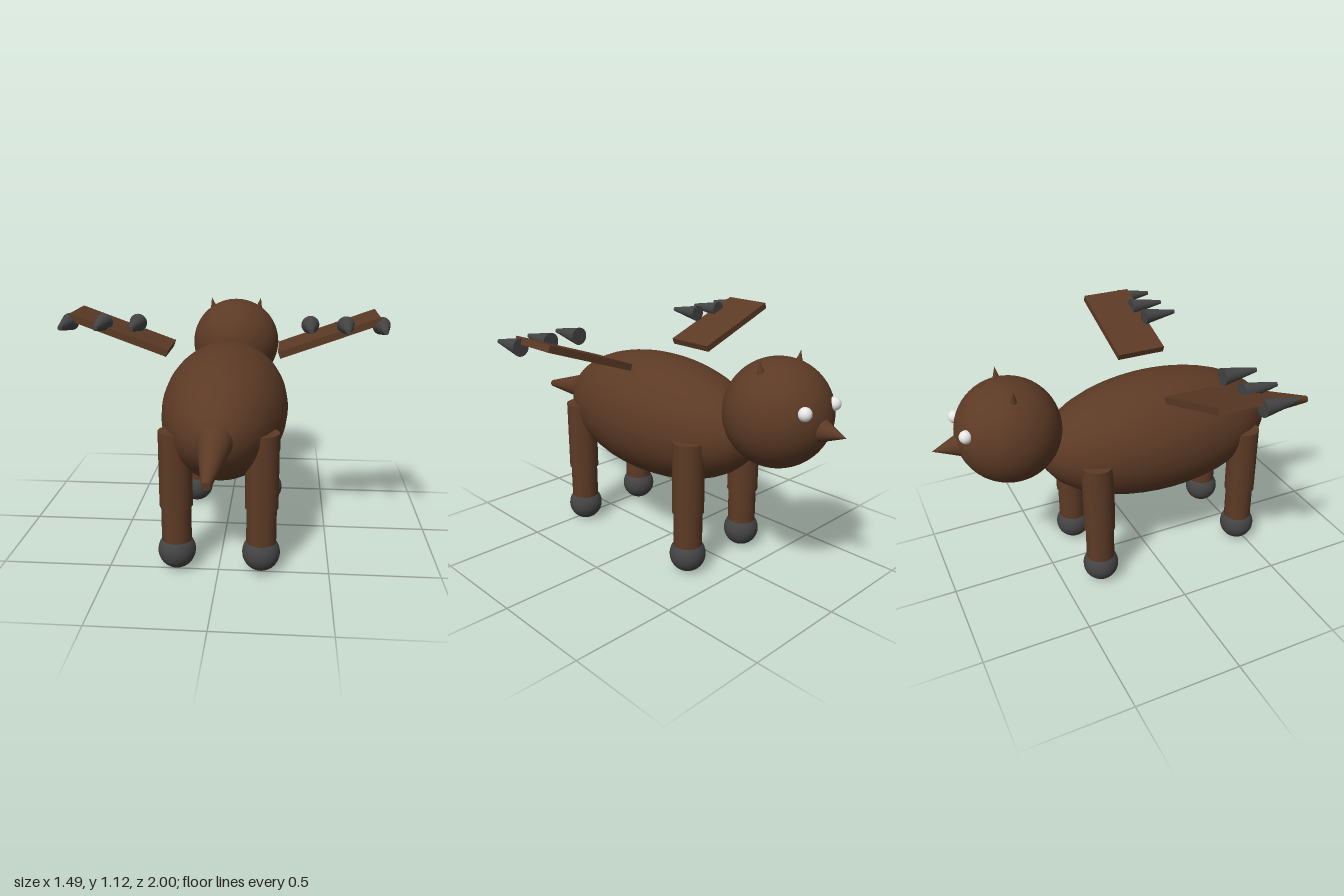
import * as THREE from 'three';

const mat = (name, color) => {
  const m = new THREE.MeshStandardMaterial({ color });
  m.name = name;
  return m;
};

export function createModel() {
  const brown = mat('brown hide', 0x5c3a25);
  const dark = mat('dark claw', 0x444444);
  const white = mat('eye white', 0xffffff);
  const model = new THREE.Group();
  model.name = 'wingedBeast';

  const add = (name, geometry, material, x, y, z) => {
    const mesh = new THREE.Mesh(geometry, material);
    mesh.name = name;
    mesh.position.set(x, y, z);
    model.add(mesh);
    return mesh;
  };
  // Tapered round piece running between two points
  const taper = (name, material, from, to, r0, r1) => {
    const a = new THREE.Vector3(...from), b = new THREE.Vector3(...to);
    const dir = b.clone().sub(a);
    const mid = a.clone().add(b).multiplyScalar(0.5);
    const mesh = add(name, new THREE.CylinderGeometry(r1, r0, dir.length(), 32), material, mid.x, mid.y, mid.z);
    mesh.quaternion.setFromUnitVectors(new THREE.Vector3(0, 1, 0), dir.normalize());
    return mesh;
  };

  // Body, head, beak and tail
  add('body', new THREE.SphereGeometry(0.3, 32, 32), brown, 0, 0.655, 0.08).scale.z = 2;
  add('head', new THREE.SphereGeometry(0.24, 48, 32), brown, 0, 0.833, -0.655);
  taper('beak', brown, [0, 0.81, -0.85], [0, 0.805, -1], 0.065, 0);
  taper('tail', brown, [0, 0.67, 0.6], [0, 0.612, 0.998], 0.085, 0.018);

  for (const [side, s] of [['left', 1], ['right', -1]]) {
    // Face details
    add(side + 'Eye', new THREE.SphereGeometry(0.03, 20, 14), white, s * 0.1, 0.897, -0.865);
    taper(side + 'Ear', brown, [s * 0.122, 1.0, -0.655], [s * 0.138, 1.082, -0.655], 0.026, 0);

    // Legs with rounded dark feet
    for (const [end, z] of [['Front', -0.31], ['Rear', 0.475]]) {
      add(side + end + 'UpperLeg', new THREE.CylinderGeometry(0.075, 0.075, 0.35, 32), brown, s * 0.192, 0.482, z);
      add(side + end + 'LowerLeg', new THREE.CylinderGeometry(0.068, 0.068, 0.25, 32), brown, s * 0.192, 0.215, z);
      add(side + end + 'Foot', new THREE.SphereGeometry(0.086, 32, 20), dark, s * 0.192, 0.088, z);
    }

    // Raised slab wing with three trailing claws
    const wing = add(side + 'Wing', new THREE.BoxGeometry(0.475, 0.032, 0.25), brown, s * 0.477, 1.03, 0.125);
    wing.rotation.z = s * THREE.MathUtils.degToRad(20);
    for (const x of [0.39, 0.548, 0.705]) {
      taper(side + 'WingClaw', dark, [s * x, 1.082, 0.205], [s * x, 1.082, 0.377], 0.04, 0.01);
    }
  }
  return model;
}
